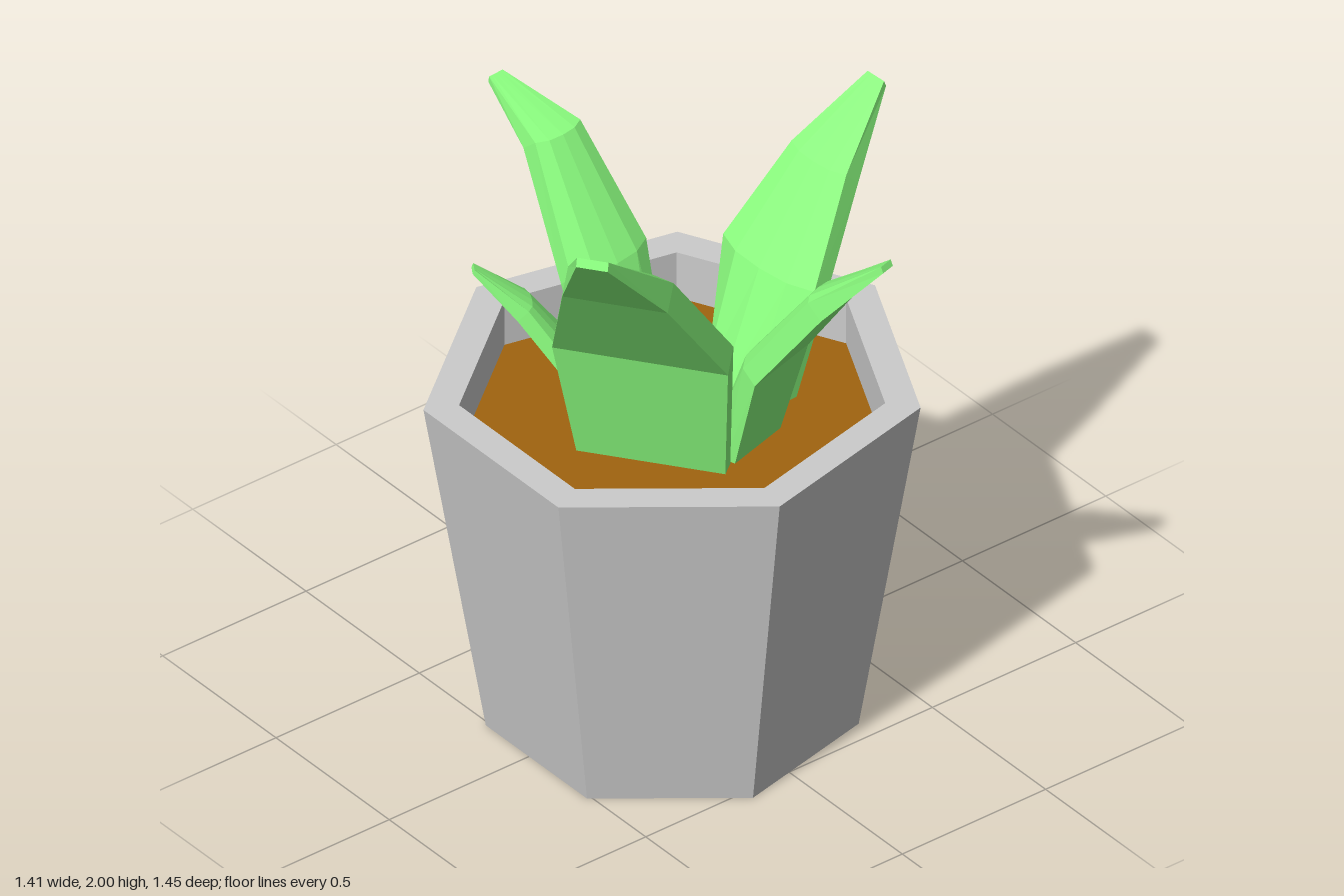
import * as THREE from 'three';

const SOIL_Y = 0.93;
const SIDES = 7;

const flat = (color) => new THREE.MeshStandardMaterial({ color, flatShading: true });

// Seven-sided solid of revolution with a corner pointing to the back
function heptagon(profile, material, name) {
  const points = profile.map(([r, y]) => new THREE.Vector2(r, y));
  const mesh = new THREE.Mesh(new THREE.LatheGeometry(points, SIDES, Math.PI), material);
  mesh.scale.set(0.687, 1, 0.705);
  mesh.position.set(0.033, 0, 0.036);
  mesh.name = name;
  return mesh;
}

// Leaf stations: distance outwards, height, half width, bulge of the inner face,
// and the offset (outwards, down) from the inner face to the outer face
const ARCHED = [
  [0.14, -0.02, 0.21, 0.14, 0.05, 0],
  [0.25, 0.47, 0.25, 0.05, 0.055, 0.06],
  [0.5, 0.83, 0.15, 0.03, 0.06, 0.06],
  [0.785, 1.07, 0.045, 0, 0.01, 0.025],
];
const BENT = [
  [0.14, -0.02, 0.21, 0.14, 0.05, 0],
  [0.28, 0.54, 0.25, 0.05, 0.055, 0.06],
  [0.56, 0.97, 0.15, 0.03, 0.065, 0.055],
  [0.9, 1.06, 0.045, 0, 0.005, 0.025],
];

// Thick leaf: convex inner face, flat outer face, closed at the tip
function leafGeometry(stations, width) {
  const inner = [[-1, 0], [-0.56, 0.8], [0, 1], [0.56, 0.8], [1, 0]];
  const outer = [1, 0, -1];
  const n = inner.length + outer.length;
  const positions = [];
  const index = [];
  for (const [d, y, w, bulge, out, down] of stations) {
    for (const [u, b] of inner) positions.push(u * w * width, y, d - b * bulge);
    for (const u of outer) positions.push(u * w * width, y - down, d + out);
  }
  for (let j = 0; j < stations.length - 1; j++) {
    for (let k = 0; k < n; k++) {
      const a = j * n + k;
      const b = j * n + (k + 1) % n;
      index.push(a, a + n, b, b, a + n, b + n);
    }
  }
  const tip = (stations.length - 1) * n;
  for (let k = 1; k < n - 1; k++) index.push(tip, tip + k + 1, tip + k);
  const geometry = new THREE.BufferGeometry();
  geometry.setAttribute('position', new THREE.Float32BufferAttribute(positions, 3));
  geometry.setIndex(index);
  geometry.computeVertexNormals();
  return geometry;
}

export function createModel() {
  const model = new THREE.Group();
  model.name = 'pottedPlant';

  // Tapered pot with a flat rim and a straight inner wall
  model.add(heptagon(
    [[0, 0], [0.75, 0], [1, 1.08], [0.857, 1.08], [0.857, SOIL_Y - 0.03]],
    flat(0xcccccc), 'pot'));
  model.add(heptagon([[0.857, SOIL_Y], [0, SOIL_Y]], flat(0xa0640f), 'soil'));

  // Leaves: root position, outward direction, size, relative width
  const green = flat(0x8cff80);
  const leaves = [
    { name: 'frontLeaf', root: [0.034, 0.047], dir: [0.59, 0.81], size: 1, width: 1 },
    { name: 'backLeaf', root: [0, -0.15], dir: [-0.035, -0.57], size: 0.735, width: 1.02 },
    { name: 'leftLeaf', root: [0.13, -0.035], dir: [0.96, -0.27], size: 0.735, width: 0.68 },
    { name: 'rightLeaf', root: [-0.04, 0.025], dir: [-0.66, 0.05], size: 0.735, width: 0.76, shape: BENT },
    { name: 'smallLeaf', root: [-0.06, 0.15], dir: [-0.53, 0.85], size: 0.51, width: 0.74 },
  ];
  for (const { name, root, dir, size, width, shape = ARCHED } of leaves) {
    const leaf = new THREE.Mesh(leafGeometry(shape, width), green);
    leaf.name = name;
    leaf.position.set(root[0], SOIL_Y, root[1]);
    leaf.rotation.y = Math.atan2(dir[0], dir[1]);
    leaf.scale.setScalar(size);
    model.add(leaf);
  }
  return model;
}
